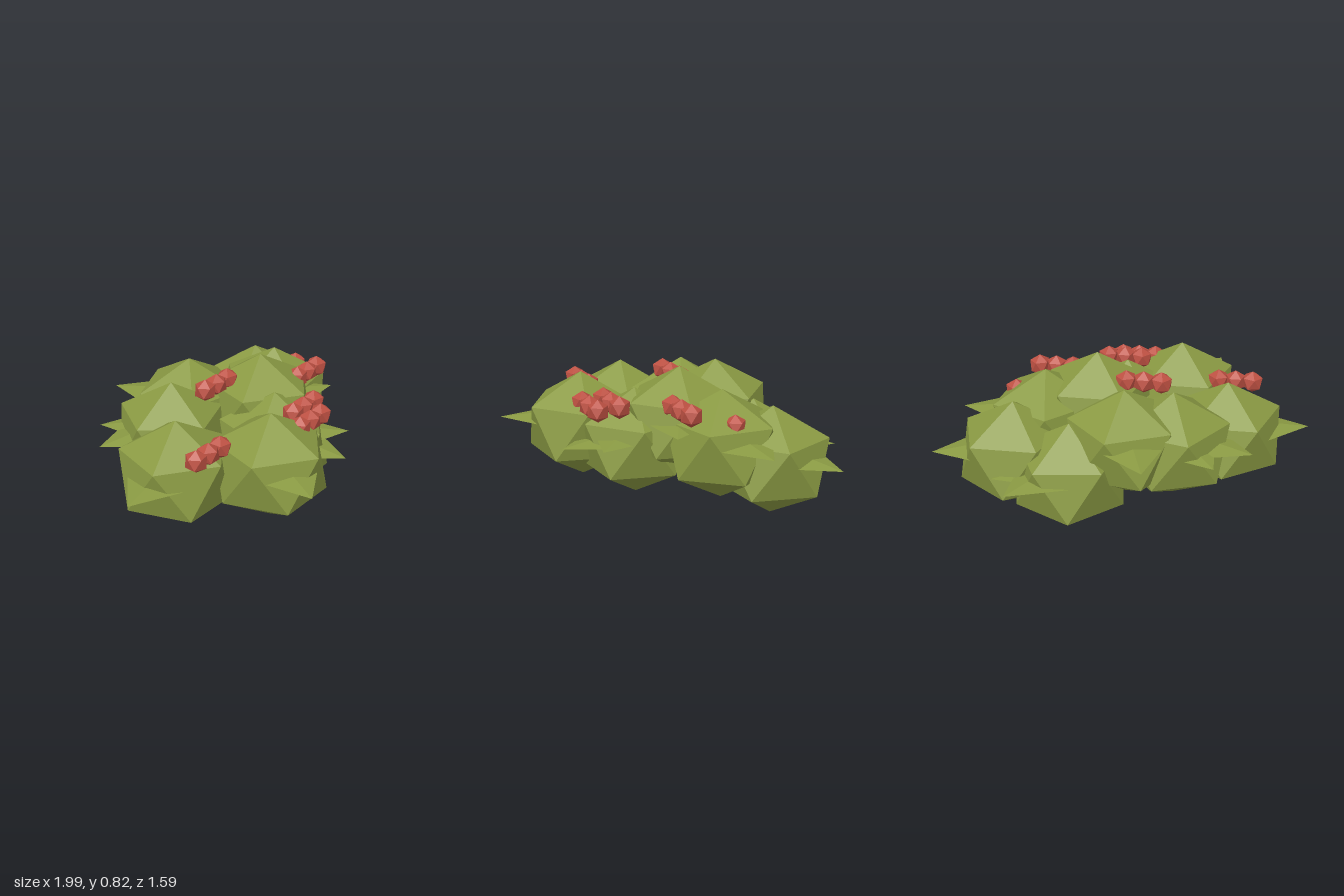
import * as THREE from 'three';

const leafGreen = new THREE.MeshStandardMaterial({ color: 0x8a9a43, flatShading: true });
leafGreen.name = 'leaf green';
const berryRed = new THREE.MeshStandardMaterial({ color: 0xbd5042, flatShading: true });
berryRed.name = 'berry red';

// Icosahedron standing on a corner, with one upper ring corner towards +z
function poleIcosahedron() {
  const g = new THREE.IcosahedronGeometry(1, 0);
  g.rotateX(-Math.atan((1 + Math.sqrt(5)) / 2));
  return g;
}

// Leaf clumps: name, centre x, y, z, turn in degrees
const CLUMPS = [
  ['frontClump', -0.26, 0.445, 0.385, 0],
  ['rightClump', -0.55, 0.395, -0.01, 0],
  ['centreClump', 0.17, 0.525, 0, 0],
  ['lowFrontClump', 0.03, 0.4, 0.2, 0],
  ['leftClump', 0.44, 0.45, -0.1, 46],
  ['leftBackClump', 0.57, 0.36, -0.335, 0],
  ['backClump', 0.25, 0.3, -0.43, 8],
  ['middleBackClump', -0.03, 0.475, -0.35, 25],
  ['rightBackClump', -0.28, 0.44, -0.27, -15],
];

// Leaf points: tip x, y, z and the clump centre x, z they grow from
const LEAVES = [
  [-1, 0.425, 0.06, -0.55, -0.01],
  [-0.47, 0.485, 0.79, -0.26, 0.385],
  [0.99, 0.4, -0.48, 0.57, -0.335],
  [0.91, 0.5, -0.11, 0.44, -0.1],
  [0.52, 0.355, -0.8, 0.25, -0.43],
  [0.63, 0.35, -0.63, 0.25, -0.43],
  [-0.18, 0.54, -0.79, -0.03, -0.35],
  [-0.52, 0.48, -0.59, -0.28, -0.27],
  [-0.71, 0.48, -0.41, -0.28, -0.27],
  [0.06, 0.43, 0.65, 0.03, 0.2],
  [0.29, 0.46, 0.52, 0.03, 0.2],
  [0.55, 0.56, 0.23, 0.17, 0],
];

// Berry rows along x: middle x, y, z
const BERRIES = [
  [-0.58, 0.595, 0.232],
  [-0.1, 0.71, -0.1],
  [0.07, 0.645, 0.362],
  [0, 0.62, 0.455],
  [0.43, 0.665, 0.138],
  [0.52, 0.602, -0.068],
];

export function createModel() {
  const bush = new THREE.Group();
  bush.name = 'berryBush';

  // Foliage clumps, slightly flattened
  const clumpGeometry = poleIcosahedron().scale(0.335, 0.3, 0.335);
  for (const [name, x, y, z, turn] of CLUMPS) {
    const clump = new THREE.Mesh(clumpGeometry, leafGreen);
    clump.name = name;
    clump.position.set(x, y, z);
    clump.rotation.y = THREE.MathUtils.degToRad(turn);
    bush.add(clump);
  }

  // Flat four-sided leaf points with the tip at the origin, facing +z
  const leafGeometry = new THREE.ConeGeometry(1, 0.28, 4)
    .translate(0, -0.14, 0)
    .rotateX(Math.PI / 2)
    .scale(0.19, 0.032, 1);
  const leaves = new THREE.Group();
  leaves.name = 'leafPoints';
  for (const [x, y, z, cx, cz] of LEAVES) {
    const leaf = new THREE.Mesh(leafGeometry, leafGreen);
    leaf.name = 'leafPoint';
    leaf.position.set(x, y, z);
    leaf.rotation.y = Math.atan2(x - cx, z - cz);
    leaves.add(leaf);
  }
  bush.add(leaves);

  // Berries in rows of three
  const berryGeometry = poleIcosahedron().scale(0.063, 0.063, 0.063);
  for (const [x, y, z] of BERRIES) {
    const row = new THREE.Group();
    row.name = 'berryRow';
    row.position.set(x, y, z);
    for (let i = -1; i <= 1; i++) {
      const berry = new THREE.Mesh(berryGeometry, berryRed);
      berry.name = 'berry';
      berry.position.x = i * 0.096;
      berry.rotation.y = i * 0.4;
      row.add(berry);
    }
    bush.add(row);
  }
  return bush;
}
